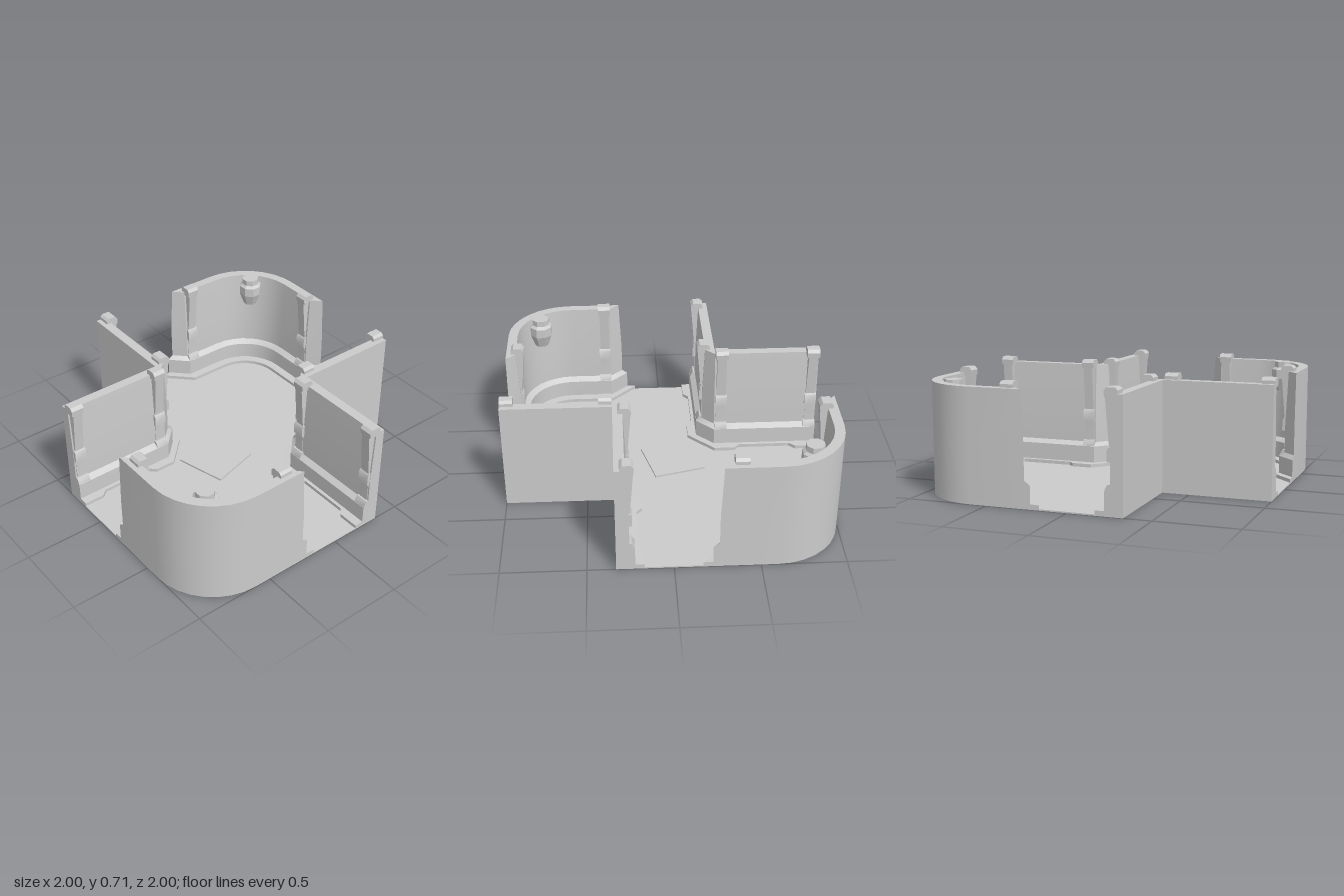
import * as THREE from 'three';
import { toCreasedNormals } from 'three/addons/utils/BufferGeometryUtils.js';

const material = new THREE.MeshStandardMaterial({ color: 0xcccccc });
const ARM = 0.333; // half width of the corridors
const R = 0.4; // outer radius of the rounded corners

function mesh(name, geometry, crease = 0.6) {
  const m = new THREE.Mesh(toCreasedNormals(geometry, crease), material);
  m.name = name;
  return m;
}

// Wall section: height, depth inward from the outer face, notch in the plinth
const SECTION = [
  [0, 0.165, 0.035], [0.03, 0.165, 0.035], [0.032, 0.11, 0], [0.14, 0.11, 0],
  [0.165, 0.075, 0], [0.35, 0.075, 0], [0.68, 0.06, 0],
];

// Quarter arc around the rounded corner, from the back side to the left side
function arc(radius, steps = 8) {
  return Array.from({ length: steps + 1 }, (_, i) => {
    const a = (i / steps) * Math.PI / 2;
    return [1 - R + radius * Math.sin(a), -(1 - R) - radius * Math.cos(a)];
  });
}

// Footprint of the rounded wall, ends cut at 45 degrees
function roundedLoop(d) {
  const outer = [[ARM - d, -1], ...arc(R), [1, d - ARM]];
  const inner = [[ARM, d - 1], ...arc(R - d), [1 - d, -ARM]];
  return [...outer, ...inner.reverse()];
}

// Footprint of the L-shaped wall, with chamfered inside corner
function cornerLoop(d, notch) {
  const x = d - ARM;
  const leg = [[x, -1], [x, -0.87], [x - notch, -0.83], [x - notch, -0.5], [x, -0.465], [x, -ARM]];
  const mirrored = leg.map(([a, b]) => [b, a]).reverse();
  const inner = [...leg, ...mirrored];
  return [[-ARM, -1], [-ARM, -ARM], [-1, -ARM], ...inner.reverse()];
}

// Skin closed footprints from the ground to the top and close the top
function loftWall(loopAt) {
  const rings = SECTION.map(([y, d, notch]) => loopAt(d, notch).map(([x, z]) => new THREE.Vector3(x, y, z)));
  const flat = (ring) => ring.map((p) => new THREE.Vector2(p.x, -p.z));
  if (THREE.ShapeUtils.area(flat(rings[0])) < 0) rings.forEach((r) => r.reverse());
  const points = [];
  for (let k = 0; k < rings.length - 1; k++) {
    const lo = rings[k], hi = rings[k + 1];
    lo.forEach((p, i) => {
      const j = (i + 1) % lo.length;
      points.push(p, lo[j], hi[j], p, hi[j], hi[i]);
    });
  }
  const top = rings[rings.length - 1];
  for (const f of THREE.ShapeUtils.triangulateShape(flat(top), [])) f.forEach((i) => points.push(top[i]));
  return new THREE.BufferGeometry().setFromPoints(points);
}

// Extrude a (depth, height) outline, centred along the wall
function slice(outline, width) {
  const shape = new THREE.Shape(outline.map(([x, y]) => new THREE.Vector2(x, y)));
  return new THREE.ExtrudeGeometry(shape, { depth: width, bevelEnabled: false }).translate(0, 0, -width / 2);
}

// Leaning post with top cap, clip and foot; local +x points into the room
function post(x, z, angle) {
  const g = new THREE.Group();
  g.name = 'wallPost';
  g.add(mesh('postShaft', slice([[0.05, 0.14], [0.08, 0.14], [0.078, 0.3], [0.085, 0.4], [0.108, 0.67], [0.05, 0.67]], 0.06)));
  g.add(mesh('postCap', slice([[0.03, 0.66], [0.108, 0.66], [0.111, 0.695], [0.095, 0.715], [0.045, 0.715], [0.03, 0.7]], 0.08)));
  g.add(mesh('postClip', slice([[0.06, 0.3], [0.095, 0.305], [0.095, 0.37], [0.085, 0.385], [0.06, 0.385]], 0.075)));
  g.add(mesh('postFoot', slice([[0.05, 0.13], [0.108, 0.13], [0.108, 0.15], [0.09, 0.18], [0.05, 0.18]], 0.08)));
  g.position.set(x, 0, z);
  g.rotation.y = angle;
  return g;
}

// Eight-sided peg inside the rounded corner
function peg() {
  const profile = [[0, 0.5], [0.045, 0.5], [0.075, 0.58], [0.075, 0.64], [0.056, 0.655], [0.056, 0.692], [0, 0.692]];
  const m = mesh('cornerPeg', new THREE.LatheGeometry(profile.map(([x, y]) => new THREE.Vector2(x, y)), 8), 0.3);
  m.position.set(0.8, 0, -0.8);
  m.rotation.y = Math.PI / 8;
  return m;
}

// One rounded wall and one L-shaped wall; the other half is a half turn away
function halfWalls() {
  const g = new THREE.Group();
  g.name = 'wallHalf';
  g.add(mesh('roundedWall', loftWall(roundedLoop)), mesh('cornerWall', loftWall(cornerLoop)), peg());
  for (const s of [-0.375, -0.96]) {
    g.add(post(-ARM, s, 0), post(s, -ARM, -Math.PI / 2));
  }
  g.add(post(0.375, -1, -Math.PI / 2), post(1, -0.375, Math.PI));
  return g;
}

function floorSlab() {
  const half = [[-1, -ARM], [-ARM, -ARM], [-ARM, -1], ...arc(R)];
  const outline = [...half, ...half.map(([x, z]) => [-x, -z])];
  const shape = new THREE.Shape(outline.map(([x, z]) => new THREE.Vector2(x, -z)));
  const geometry = new THREE.ExtrudeGeometry(shape, { depth: 0.008, bevelEnabled: false });
  return mesh('floor', geometry.rotateX(-Math.PI / 2));
}

export function createModel() {
  const model = new THREE.Group();
  model.name = 'corridorCrossing';
  model.add(floorSlab());

  // Loose square plate lying on the floor
  const plate = mesh('floorPlate', new THREE.BoxGeometry(0.33, 0.018, 0.33));
  plate.position.set(-0.083, 0.011, -0.05);
  plate.rotation.y = 0.26;
  model.add(plate);

  for (const turn of [0, Math.PI]) {
    const half = halfWalls();
    half.rotation.y = turn;
    model.add(half);
  }
  return model;
}
